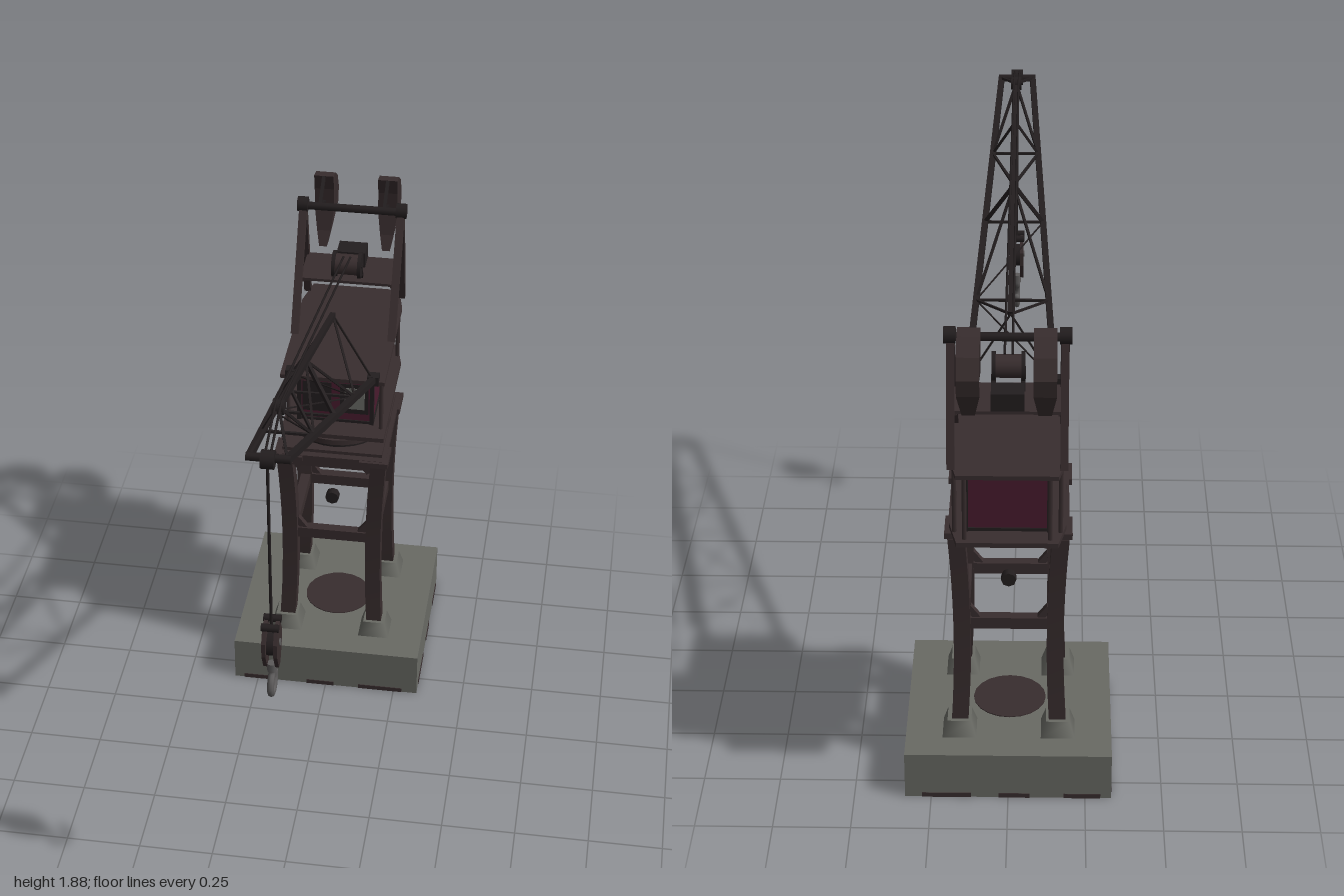
import * as THREE from 'three';

const mat = (name, color, side = THREE.FrontSide) => {
  const m = new THREE.MeshStandardMaterial({ color, side });
  m.name = name;
  return m;
};

export function createModel() {
  const iron = mat('brown iron', 0x382d2e);
  const dark = mat('black iron', 0x231e1f);
  const maroon = mat('maroon panel', 0x4a1c2f);
  const concrete = mat('concrete', 0x696a64, THREE.DoubleSide);
  const steel = mat('hook steel', 0x5c5a5a);
  const glass = mat('window glass', 0x6c6d68);

  const root = new THREE.Group();
  root.name = 'dockCrane';
  const V = (x, y, z) => new THREE.Vector3(x, y, z);
  const add = (name, geo, m, p) => {
    const mesh = new THREE.Mesh(geo, m);
    mesh.name = name;
    if (p) mesh.position.copy(p);
    root.add(mesh);
    return mesh;
  };
  const box = (name, m, w, h, d, x, y, z) => add(name, new THREE.BoxGeometry(w, h, d), m, V(x, y, z));
  // Square bar or round rod between two points
  const bar = (name, m, a, b, t) => {
    const mesh = add(name, new THREE.BoxGeometry(t, t, a.distanceTo(b)), m, a.clone().add(b).multiplyScalar(0.5));
    mesh.lookAt(b);
    return mesh;
  };
  const rod = (name, m, a, b, r, n = 6) => {
    const g = new THREE.CylinderGeometry(r, r, a.distanceTo(b), n).rotateX(Math.PI / 2);
    const mesh = add(name, g, m, a.clone().add(b).multiplyScalar(0.5));
    mesh.lookAt(b);
    return mesh;
  };
  const wheel = (name, m, r, w, x, y, z, n = 12) =>
    add(name, new THREE.CylinderGeometry(r, r, w, n).rotateZ(Math.PI / 2), m, V(x, y, z));
  const shapeOf = pts => new THREE.Shape(pts.map(p => new THREE.Vector2(p[0], p[1])));
  // Horizontal plate from [x, z] outline
  const slab = (name, m, pts, y, h) => {
    const g = new THREE.ExtrudeGeometry(shapeOf(pts.map(p => [p[0], -p[1]])), { depth: h, bevelEnabled: false });
    return add(name, g.rotateX(-Math.PI / 2), m, V(0, y, 0));
  };
  // Side profile from [z, y] outline, given width in x
  const profile = (pts, w) => new THREE.ExtrudeGeometry(shapeOf(pts), { depth: w, bevelEnabled: false })
    .translate(0, 0, -w / 2).rotateY(-Math.PI / 2);

  // Concrete base, open underneath
  const CZ = -0.5;
  const baseGeo = new THREE.BoxGeometry(0.67, 0.165, 0.665);
  const idx = Array.from(baseGeo.index.array);
  idx.splice(18, 6);
  baseGeo.setIndex(idx);
  baseGeo.clearGroups();
  add('concreteBase', baseGeo, concrete, V(0, 0.0825, CZ));
  add('rustPatch', new THREE.CylinderGeometry(0.12, 0.12, 0.004, 20), iron, V(0, 0.166, CZ));
  add('undersidePatch', new THREE.CylinderGeometry(0.12, 0.12, 0.004, 20), dark, V(0, 0.161, CZ));
  for (const [u, w] of [[-0.24, 0.12], [-0.02, 0.1], [0.2, 0.16]]) for (const s of [-1, 1]) {
    box('baseStain', iron, w, 0.016, 0.004, u, 0.008, CZ + s * 0.333);
    box('baseStain', iron, 0.004, 0.016, w, s * 0.335, 0.008, CZ + u);
  }

  // Footings, curved legs and corner brackets
  for (const sx of [-1, 1]) for (const sz of [-1, 1]) {
    const foot = new THREE.CylinderGeometry(0.055, 0.078, 0.055, 4).rotateY(Math.PI / 4);
    add('footing', foot, concrete, V(sx * 0.16, 0.192, CZ + sz * 0.18));
    const leg = new THREE.BoxGeometry(0.054, 0.69, 0.054, 1, 10, 1);
    const p = leg.attributes.position;
    for (let i = 0; i < p.count; i++) {
      const t = p.getY(i) / 0.69 + 0.5;
      const off = 0.012 * (2 * t - 1) ** 2 + 0.006 * t - 0.008;
      p.setX(i, p.getX(i) + sx * off);
      p.setZ(i, p.getZ(i) + sz * off);
    }
    leg.computeVertexNormals();
    add('leg', leg, iron, V(sx * 0.154, 0.56, CZ + sz * 0.176));
    for (const [y, d] of [[0.59, 1], [0.895, -1]]) {
      bar('bracket', iron, V(sx * 0.13, y + d * 0.04, CZ + sz * 0.165), V(sx * 0.1, y, CZ + sz * 0.165), 0.022);
    }
  }
  // Cross braces with round bosses above
  for (const s of [-1, 1]) {
    box('crossBrace', iron, 0.27, 0.04, 0.035, 0, 0.575, CZ + s * 0.165);
    box('sideBrace', iron, 0.035, 0.04, 0.3, s * 0.145, 0.575, CZ);
    rod('boss', dark, V(0, 0.74, CZ + s * 0.17 - 0.015), V(0, 0.74, CZ + s * 0.17 + 0.015), 0.024, 8);
  }

  // Tower head: rim frame, slab, corner blocks and turntable
  for (const s of [-1, 1]) {
    box('headBeam', iron, 0.35, 0.035, 0.05, 0, 0.903, CZ + s * 0.18);
    box('headBeam', iron, 0.05, 0.035, 0.35, s * 0.16, 0.903, CZ);
    for (const t of [-1, 1]) box('headCorner', iron, 0.1, 0.02, 0.11, s * 0.15, 0.925, CZ + t * 0.172);
  }
  box('headSlab', iron, 0.38, 0.016, 0.43, 0, 0.928, CZ);
  box('headStep', iron, 0.35, 0.012, 0.38, 0, 0.942, CZ);
  add('turntable', new THREE.CylinderGeometry(0.165, 0.165, 0.02, 28), dark, V(0, 0.957, CZ));
  add('turntableRing', new THREE.CylinderGeometry(0.182, 0.182, 0.02, 28), iron, V(0, 0.977, CZ));
  add('slewPivot', new THREE.CylinderGeometry(0.13, 0.13, 0.02, 20), dark, V(0, 0.994, CZ));

  // Cab floor and roof, same outline
  const deck = [[-0.18, -0.31], [0.18, -0.31], [0.18, -0.8], [0.155, -0.915], [-0.155, -0.915], [-0.18, -0.8]];
  slab('cabFloor', iron, deck, 1.0, 0.016);
  slab('cabRoof', iron, deck, 1.235, 0.014);

  // Machinery cab with panels and framing
  box('cabBody', maroon, 0.26, 0.19, 0.445, 0, 1.115, -0.618);
  box('cabTop', dark, 0.25, 0.026, 0.43, 0, 1.222, -0.618);
  for (const s of [-1, 1]) {
    for (const z of [-0.396, -0.61, -0.84]) box('cabPost', dark, 0.014, 0.2, 0.016, s * 0.127, 1.113, z);
    for (const y of [1.022, 1.208]) {
      box('cabRail', dark, 0.008, 0.01, 0.44, s * 0.13, y, -0.618);
      box('cabEndRail', dark, 0.26, 0.01, 0.008, 0, y, -0.618 + s * 0.223);
    }
    for (const z of [-0.375, -0.885]) {
      rod('roofPost', iron, V(s * 0.162, 1.01, z + (z < -0.8 ? 0.04 : 0)), V(s * 0.162, 1.24, z + (z < -0.8 ? 0.04 : 0)), 0.008);
    }
    rod('rearPost', iron, V(s * 0.13, 1.01, -0.89), V(s * 0.13, 1.24, -0.89), 0.008);
    box('windowFrame', dark, 0.1, 0.12, 0.004, s * 0.065, 1.115, -0.3945);
  }
  box('windowPane', glass, 0.07, 0.085, 0.004, 0.067, 1.117, -0.392);

  // A-frame with top axle and machine deck
  for (const s of [-1, 1]) {
    const top = V(s * 0.17, 1.65, -0.78);
    bar('frontStrut', iron, V(s * 0.17, 1.25, -0.57), top, 0.026);
    bar('rearStrut', iron, V(s * 0.17, 1.25, -0.875), top, 0.024);
    wheel('axleCap', dark, 0.026, 0.036, s * 0.172, 1.65, -0.78);
    bar('deckBeam', iron, V(s * 0.158, 1.417, -0.66), V(s * 0.158, 1.417, -0.835), 0.014);
  }
  wheel('topAxle', dark, 0.014, 0.37, 0, 1.645, -0.78, 8);
  box('machineDeck', iron, 0.32, 0.01, 0.175, 0, 1.42, -0.748);
  box('winchMotor', dark, 0.1, 0.06, 0.075, 0, 1.452, -0.797);
  wheel('ropeDrum', iron, 0.036, 0.1, 0, 1.49, -0.665);
  for (const s of [-1, 1]) {
    wheel('drumFlange', dark, 0.046, 0.012, s * 0.045, 1.49, -0.665, 14);
    bar('drumBracket', dark, V(s * 0.045, 1.42, -0.7), V(s * 0.045, 1.49, -0.665), 0.014);
  }

  // Crescent counterweights, narrowing downwards
  const crescent = [[-0.865, 1.717], [-0.91, 1.71], [-0.968, 1.67], [-1.0, 1.61], [-0.992, 1.555],
    [-0.96, 1.478], [-0.895, 1.443], [-0.845, 1.448], [-0.867, 1.5], [-0.883, 1.58], [-0.878, 1.66]];
  for (const s of [-1, 1]) {
    const g = profile(crescent, 0.068);
    const p = g.attributes.position;
    for (let i = 0; i < p.count; i++) {
      p.setX(i, p.getX(i) * THREE.MathUtils.clamp((p.getY(i) - 1.38) / 0.17, 0.4, 1));
    }
    g.computeVertexNormals();
    add('counterweight', g, iron, V(s * 0.112, 0, 0));
    for (const [y, z] of [[1.712, -0.868], [1.6, -0.9]]) {
      bar('counterweightArm', dark, V(s * 0.112, 1.65, -0.78), V(s * 0.112, y, z), 0.012);
    }
  }

  // Jib: two lower chords, one upper chord
  const low = (z, s) => {
    const t = (z + 0.31) / 1.267;
    return V(s * THREE.MathUtils.lerp(0.14, 0.055, t), 1.257 + 0.553 * t, z);
  };
  const up = z => V(0, 1.497 + 0.363 * (z + 0.32) / 1.09, z);
  bar('upperChord', dark, up(-0.32), up(0.77), 0.018);
  const lowZ = [-0.31, 0, 0.32, 0.615, 0.957];
  for (const s of [-1, 1]) {
    bar('lowerChord', dark, low(-0.31, s), low(0.957, s), 0.02);
    box('jibHinge', dark, 0.04, 0.035, 0.035, s * 0.14, 1.257, -0.315);
    const web = [[-0.32, -0.31, 0.006], [-0.32, 0, 0.007], [0.262, 0, 0.008], [0.262, 0.32, 0.012],
      [0.262, 0.615, 0.008], [0.572, 0.615, 0.008], [0.77, 0.615, 0.008], [0.77, 0.957, 0.008]];
    for (const [u, l, t] of web) bar('jibWeb', dark, up(u), low(l, s), t);
  }
  lowZ.forEach((z, i) => {
    if (i) bar('jibCrossMember', dark, low(z, -1), low(z, 1), 0.008);
    if (i < 3) bar('jibDiagonal', dark, low(z, i % 2 ? 1 : -1), low(lowZ[i + 1], i % 2 ? -1 : 1), 0.004);
  });

  // Sheaves, luffing ropes and hoist rope
  wheel('peakSheave', dark, 0.023, 0.035, 0, 1.86, 0.77);
  wheel('tipSheave', dark, 0.028, 0.04, 0, 1.81, 0.965);
  wheel('tipAxle', dark, 0.013, 0.13, 0, 1.81, 0.957, 8);
  for (const s of [-1, 1]) {
    rod('luffingRope', dark, V(s * 0.008, 1.88, 0.77), V(s * 0.012, 1.525, -0.655), 0.004, 5);
    rod('tipRope', dark, V(s * 0.008, 1.88, 0.77), V(s * 0.008, 1.832, 0.965), 0.004, 5);
  }
  rod('hoistRope', dark, V(0, 1.81, 0.975), V(0, 1.19, 0.95), 0.005, 6);

  // Hook block and hook
  const block = [[0.932, 1.2], [0.97, 1.2], [0.997, 1.15], [0.995, 1.1], [0.965, 1.04],
    [0.937, 1.04], [0.907, 1.1], [0.905, 1.15]];
  for (const s of [-1, 1]) {
    add('blockCheek', profile(block, 0.012), iron, V(s * 0.018, 0, 0));
    wheel('blockBolt', dark, 0.012, 0.054, 0, 1.2, 0.951 + s * 0.024, 8);
  }
  wheel('blockSheave', dark, 0.04, 0.022, 0, 1.125, 0.951, 14);
  wheel('blockPin', steel, 0.012, 0.056, 0, 1.13, 0.951, 8);
  add('hookCollar', new THREE.CylinderGeometry(0.015, 0.015, 0.03, 8), steel, V(0, 1.03, 0.951));
  const hook = new THREE.CatmullRomCurve3([[1.03, 0.951], [1.005, 0.953], [0.985, 0.975], [0.955, 0.981],
    [0.932, 0.962], [0.932, 0.93], [0.952, 0.909], [0.975, 0.904]].map(([y, z]) => V(0, y, z)));
  add('hook', new THREE.TubeGeometry(hook, 24, 0.011, 8), steel);
  add('hookTip', new THREE.SphereGeometry(0.011, 8, 6), steel, V(0, 0.975, 0.904));

  return root;
}
